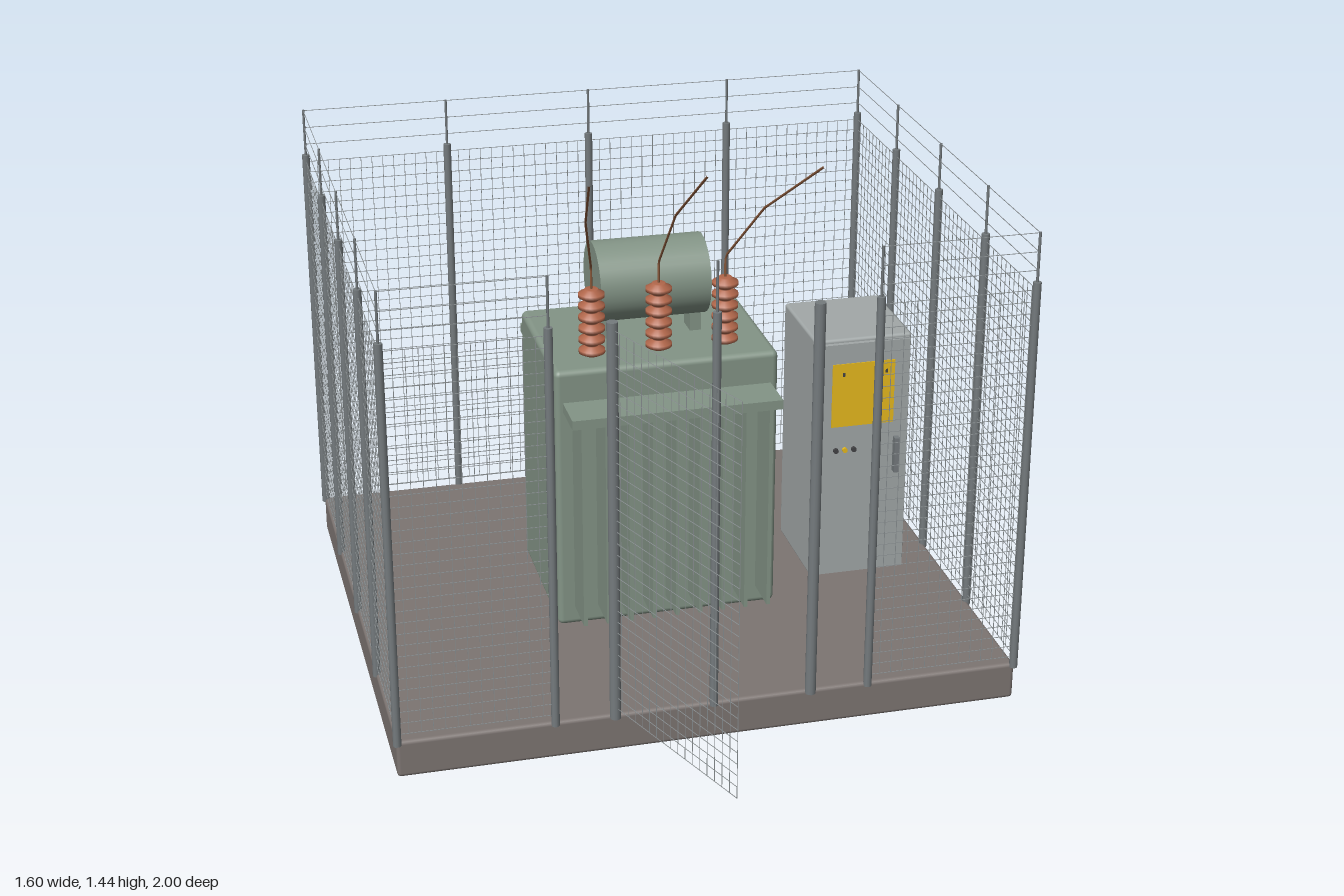
import * as THREE from 'three';
import { mergeGeometries } from 'three/addons/utils/BufferGeometryUtils.js';
import { RoundedBoxGeometry } from 'three/addons/geometries/RoundedBoxGeometry.js';

const mat = (name, color) => Object.assign(new THREE.MeshStandardMaterial({ color }), { name });
const V = (x, y, z) => new THREE.Vector3(x, y, z);

// Cylinder or box bar running from a to b
function bar(a, b, thickness, sides = 8) {
  const d = b.clone().sub(a), len = d.length();
  const g = sides === 4
    ? new THREE.BoxGeometry(thickness, len, thickness)
    : new THREE.CylinderGeometry(thickness / 2, thickness / 2, len, sides);
  g.applyQuaternion(new THREE.Quaternion().setFromUnitVectors(V(0, 1, 0), d.normalize()));
  return g.translate((a.x + b.x) / 2, (a.y + b.y) / 2, (a.z + b.z) / 2);
}

export function createModel() {
  const model = new THREE.Group();
  model.name = 'transformerStation';
  const concrete = mat('concrete', 0x7d7572);
  const green = mat('tankGreen', 0x839486);
  const grey = mat('cabinetGrey', 0xa2a8a8);
  const steel = mat('postSteel', 0x757b7e);
  const wireGrey = mat('meshWire', 0x8c9294);
  const porcelain = mat('brownPorcelain', 0xb0664a);
  const copper = mat('cableBrown', 0x8a5a3c);
  const yellow = mat('signYellow', 0xe8bb1e);
  const dark = mat('darkMetal', 0x434345);

  function add(name, geometry, material, x = 0, y = 0, z = 0, parent = model) {
    const m = new THREE.Mesh(geometry, material);
    m.name = name;
    m.position.set(x, y, z);
    parent.add(m);
    return m;
  }
  const group = (name) => {
    const g = new THREE.Group();
    g.name = name;
    model.add(g);
    return g;
  };

  // Foundation slab and the drain pipe behind it
  const X = 0.79, Z0 = -0.85, Z1 = 0.533;
  add('slab', new RoundedBoxGeometry(2 * X + 0.005, 0.1, Z1 - Z0 + 0.005, 2, 0.01), concrete, 0, 0.05, (Z0 + Z1) / 2);
  add('drainPipe', bar(V(0.553, 0.047, -0.8), V(0.553, 0.03, -0.998), 0.017, 12), dark);

  // Transformer tank
  const transformer = group('transformer');
  add('tank', new RoundedBoxGeometry(0.585, 0.72, 0.44, 3, 0.015), green, 0, 0.46, -0.157, transformer);

  // Radiators front and back: a header with nine thin fins
  for (const side of [1, -1]) {
    const z = -0.157 + side * 0.275;
    add('radiatorHeader', new THREE.BoxGeometry(0.545, 0.025, 0.12), green, 0, 0.7225, z, transformer);
    const fins = [];
    for (let i = -4; i <= 4; i++)
      fins.push(new THREE.BoxGeometry(0.01, 0.56, 0.11).translate(i * 0.061, 0.432, z));
    add('radiatorFins', mergeGeometries(fins), green, 0, 0, 0, transformer);
  }

  // Oil conservator on two feet
  const drum = new THREE.CylinderGeometry(0.105, 0.105, 0.29, 32).rotateZ(Math.PI / 2);
  add('conservator', drum, green, 0, 0.97, -0.157, transformer);
  for (const x of [-0.122, 0.122])
    add('conservatorFoot', new THREE.BoxGeometry(0.03, 0.09, 0.06), green, x, 0.86, -0.157, transformer);

  // Ribbed bushings: a core with tapered sheds
  function bushing(name, x, z, sheds, radius, height) {
    const pts = [new THREE.Vector2(0, 0)], step = height / sheds, core = radius * 0.5;
    for (let i = 0; i < sheds; i++) {
      const y = i * step;
      pts.push(new THREE.Vector2(core, y), new THREE.Vector2(radius, y + step * 0.3),
        new THREE.Vector2(radius, y + step * 0.6), new THREE.Vector2(core, y + step * 0.9));
    }
    pts.push(new THREE.Vector2(core, height), new THREE.Vector2(0, height));
    add(name, new THREE.LatheGeometry(pts, 20), porcelain, x, 0.818, z, transformer);
  }
  for (const x of [-0.175, 0, 0.175]) {
    bushing('highVoltageBushing', x, -0.033, 6, 0.034, 0.182);
    // Overhead line leaving each bushing
    const path = new THREE.CurvePath(), s = x / 0.175;
    const p = [V(x, 0.99, -0.033), V(x, 1.055, -0.033), V(s * 0.225, 1.24, 0.14), V(s * 0.28, 1.44, 0.44)];
    for (let i = 0; i < 3; i++) path.add(new THREE.LineCurve3(p[i], p[i + 1]));
    add('overheadLine', new THREE.TubeGeometry(path, 36, 0.003, 8), copper, 0, 0, 0, transformer);
  }
  for (const x of [-0.125, 0.125]) bushing('lowVoltageBushing', x, -0.283, 3, 0.023, 0.075);

  // Control cabinet with door, sign, indicators and handle
  const cabinet = group('controlCabinet');
  add('cabinetBody', new RoundedBoxGeometry(0.265, 0.69, 0.285, 2, 0.008), grey, 0.557, 0.445, -0.185, cabinet);
  add('cabinetDoor', new THREE.BoxGeometry(0.25, 0.67, 0.014), grey, 0.557, 0.445, -0.037, cabinet);
  add('warningSign', new THREE.BoxGeometry(0.172, 0.18, 0.003), yellow, 0.555, 0.635, -0.0295, cabinet);
  for (const x of [0.5, 0.618])
    add('signScrew', new THREE.BoxGeometry(0.006, 0.01, 0.003), dark, x, 0.695, -0.0275, cabinet);
  [dark, yellow, dark].forEach((m, i) => add('indicator',
    new THREE.CylinderGeometry(0.007, 0.007, 0.01, 12).rotateX(Math.PI / 2), m, 0.483 + i * 0.025, 0.477, -0.027, cabinet));
  add('doorHandle', new THREE.BoxGeometry(0.014, 0.1, 0.02), steel, 0.65, 0.452, -0.021, cabinet);

  // Fence posts with slimmer tips
  const fence = group('fence');
  const xs = [-X, -0.4, 0, 0.4, X], zs = [Z0, -0.505, -0.16, 0.187, Z1];
  const spots = [];
  for (const x of xs) spots.push([x, Z0], [x, Z1]);
  for (const z of zs.slice(1, 4)) spots.push([-X, z], [X, z]);
  const posts = [];
  for (const [x, z] of spots)
    posts.push(bar(V(x, 0.09, z), V(x, 1.14, z), 0.021, 10), bar(V(x, 1.14, z), V(x, 1.267, z), 0.007, 6));
  add('fencePosts', mergeGeometries(posts), steel, 0, 0, 0, fence);
  for (const x of [-0.25, 0.25])
    add('gatePost', bar(V(x, 0.09, Z1), V(x, 1.14, Z1), 0.028, 12), steel, 0, 0, 0, fence);

  // Wire mesh panel between two ground points
  const T = 0.0014;
  function panel(a, b) {
    const parts = [], cols = Math.round(a.distanceTo(b) / 0.03);
    const at = (t, y) => a.clone().lerp(b, t).setY(y);
    for (let i = 0; i <= 33; i++) parts.push(bar(at(0, 0.12 + i / 33), at(1, 0.12 + i / 33), T, 4));
    for (let i = 0; i <= cols; i++) parts.push(bar(at(i / cols, 0.12), at(i / cols, 1.12), T, 4));
    return parts;
  }
  const mesh = [], strands = [];
  function bay(x0, z0, x1, z1) {
    mesh.push(...panel(V(x0, 0, z0), V(x1, 0, z1)));
    for (const y of [1.17, 1.217, 1.265]) strands.push(bar(V(x0, y, z0), V(x1, y, z1), T, 4));
  }
  for (let i = 0; i < 4; i++) {
    bay(xs[i], Z0, xs[i + 1], Z0);
    bay(-X, zs[i], -X, zs[i + 1]);
    bay(X, zs[i], X, zs[i + 1]);
  }
  bay(-X, Z1, -0.4, Z1);
  bay(0.4, Z1, X, Z1);
  add('fenceMesh', mergeGeometries(mesh), wireGrey, 0, 0, 0, fence);
  add('topStrands', mergeGeometries(strands), wireGrey, 0, 0, 0, fence);

  // Gate leaf standing open
  add('openGate', mergeGeometries(panel(V(-0.25, 0, Z1), V(-0.07, 0, 0.999))), wireGrey, 0, 0, 0, fence);

  return model;
}
